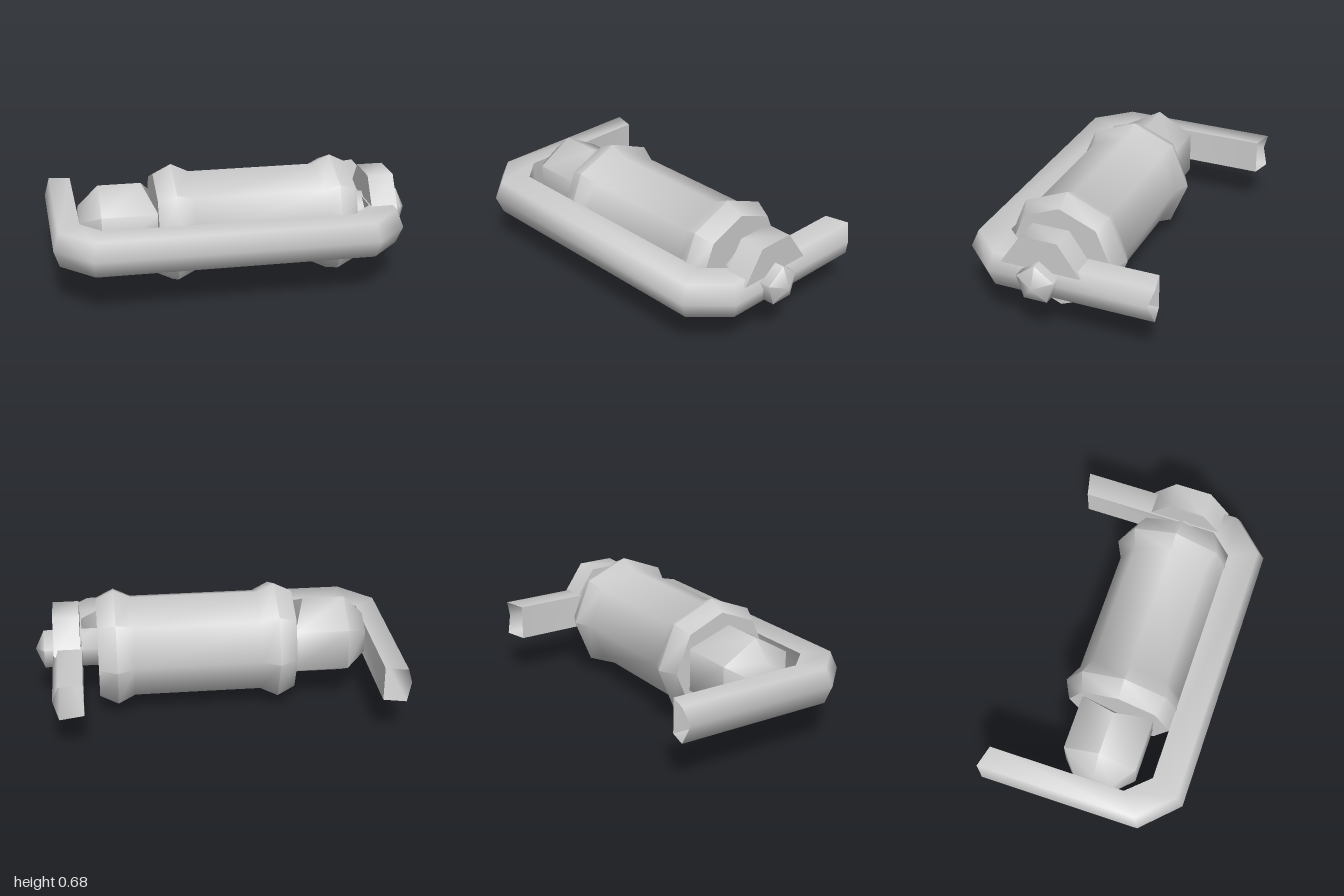
import * as THREE from 'three';
import { toCreasedNormals } from 'three/addons/utils/BufferGeometryUtils.js';

const material = new THREE.MeshStandardMaterial({ color: 0xcccccc, side: THREE.DoubleSide });

function part(name, geometry, crease) {
  const mesh = new THREE.Mesh(toCreasedNormals(geometry, crease), material);
  mesh.name = name;
  return mesh;
}

// Turned shape along x; profile rows are [x, radius], with one corner pointing up
function turned(profile, sides, y, z) {
  const points = profile.map(([x, r]) => new THREE.Vector2(r, x));
  return new THREE.LatheGeometry(points, sides, -Math.PI / 2)
    .rotateZ(-Math.PI / 2)
    .translate(0, y, z);
}

// Open tube with a five-cornered section, swept between outer and inner plan corners
function frameGeometry() {
  const outer = [[-1, -0.525], [-1, 0.36], [-0.81, 0.553], [0.72, 0.553], [0.905, 0.36], [0.905, -0.525]];
  const inner = [[-0.85, -0.525], [-0.85, 0.235], [-0.735, 0.36], [0.63, 0.36], [0.742, 0.24], [0.742, -0.525]];
  const section = [[0, 0], [0.2, 0.096], [1, 0.096], [1, -0.096], [0.2, -0.096]];
  const n = section.length;
  const positions = [];
  const index = [];
  outer.forEach(([ox, oz], i) => {
    const [ix, iz] = inner[i];
    const isEnd = i === 0 || i === outer.length - 1;
    section.forEach(([t, h]) => {
      const tip = isEnd && t === 0.2 ? -0.03 : 0; // notched ends
      positions.push(ox + (ix - ox) * t, 0.335 + h, oz + (iz - oz) * t + tip);
    });
    if (i === 0) return;
    for (let j = 0; j < n; j++) {
      const k = (j + 1) % n;
      const a = (i - 1) * n + j, b = (i - 1) * n + k, c = i * n + k, d = i * n + j;
      index.push(a, d, b, b, d, c);
    }
  });
  const geometry = new THREE.BufferGeometry();
  geometry.setAttribute('position', new THREE.Float32BufferAttribute(positions, 3));
  geometry.setIndex(index);
  return geometry;
}

export function createModel() {
  const group = new THREE.Group();
  group.name = 'model';

  // Eight-sided barrel with a raised band at each end
  group.add(part('barrel', turned([
    [-0.435, 0], [-0.435, 0.29], [-0.335, 0.34], [-0.24, 0.293],
    [0.46, 0.293], [0.555, 0.34], [0.655, 0.29], [0.655, 0],
  ], 8, 0.34, 0.065), 0.9));

  // Six-sided end cap, its top corner stopping short of the barrel
  const cap = turned([
    [-0.845, 0], [-0.845, 0.125], [-0.735, 0.233], [-0.43, 0.233], [-0.43, 0],
  ], 6, 0.348, 0.06);
  const p = cap.attributes.position;
  for (let i = 0; i < p.count; i++) {
    if (p.getX(i) > -0.5 && p.getY(i) > 0.55) p.setX(i, -0.5);
  }
  group.add(part('endCap', cap, 1.1));

  // Five-sided axle with a pointed tip
  group.add(part('axle', turned([
    [0.64, 0], [0.64, 0.11], [0.95, 0.11], [1, 0],
  ], 5, 0.345, 0.065), 1.35));

  // Wedge bracket above the axle
  const wedge = new THREE.Shape([
    [-0.285, 0.4], [0.16, 0.4], [0.037, 0.577], [-0.167, 0.577],
  ].map(([x, y]) => new THREE.Vector2(x, y)));
  const bracket = new THREE.ExtrudeGeometry(wedge, { depth: 0.145, bevelEnabled: false })
    .rotateY(Math.PI / 2)
    .translate(0.75, 0, 0);
  group.add(part('bracket', bracket, 1.1));

  // U-shaped tube around the front
  group.add(part('frame', frameGeometry(), 1.3));

  return group;
}
